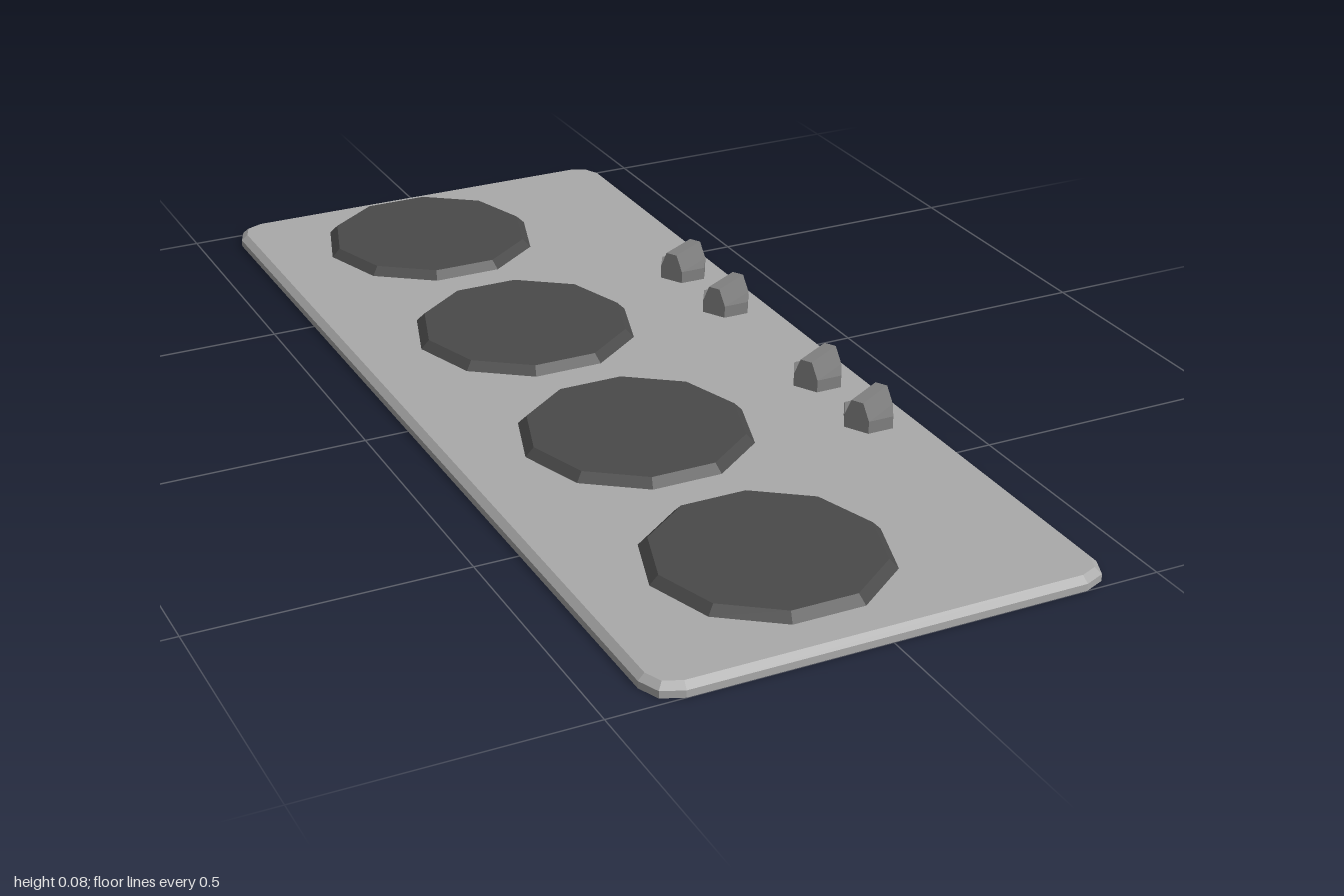
import * as THREE from 'three';
import { mergeVertices } from 'three/addons/utils/BufferGeometryUtils.js';

const material = (name, color) => {
  const m = new THREE.MeshStandardMaterial({ color, flatShading: true });
  m.name = name;
  return m;
};

// Joins equal-length outline loops (bottom to top, anticlockwise seen from above) and caps both ends
function loft(loops) {
  const n = loops[0].length;
  const positions = [];
  const tri = (...pts) => pts.forEach((p) => positions.push(...p));
  for (let k = 0; k + 1 < loops.length; k++) {
    for (let i = 0; i < n; i++) {
      const j = (i + 1) % n;
      const [a, b, c, d] = [loops[k][i], loops[k][j], loops[k + 1][j], loops[k + 1][i]];
      tri(a, b, c);
      tri(a, c, d);
    }
  }
  const low = loops[0], high = loops[loops.length - 1];
  for (let i = 1; i + 1 < n; i++) {
    tri(low[0], low[i + 1], low[i]);
    tri(high[0], high[i], high[i + 1]);
  }
  const g = new THREE.BufferGeometry();
  g.setAttribute('position', new THREE.Float32BufferAttribute(positions, 3));
  g.computeVertexNormals();
  return g;
}

// Rectangle with corners rounded in two segments
function plateLoop(halfX, halfZ, radius, y) {
  const loop = [];
  for (let corner = 0; corner < 4; corner++) {
    const sx = corner === 0 || corner === 3 ? 1 : -1;
    const sz = corner < 2 ? -1 : 1;
    for (let s = 0; s <= 2; s++) {
      const a = (corner + s / 2) * Math.PI / 2;
      loop.push([
        sx * (halfX - radius) + radius * Math.cos(a), y,
        sz * (halfZ - radius) - radius * Math.sin(a),
      ]);
    }
  }
  return loop;
}

// Grip bar along local x: sloped sides, vertical ends flush with the hexagon base
function gripGeometry(halfLength, halfBase, halfTop, y0, y1) {
  const rect = (w, y) => [
    [halfLength, y, w], [halfLength, y, -w], [-halfLength, y, -w], [-halfLength, y, w],
  ];
  return loft([rect(halfBase, y0), rect(halfTop, y1)]);
}

export function createModel() {
  const model = new THREE.Group();
  model.name = 'cooktop';
  const steel = material('light grey steel', 0xaaaaaa);
  const iron = material('dark grey hotplate', 0x4a4a4a);
  const plastic = material('mid grey knob', 0x808080);

  const add = (parent, name, geometry, mat, x = 0, y = 0, z = 0) => {
    const mesh = new THREE.Mesh(geometry, mat);
    mesh.name = name;
    mesh.position.set(x, y, z);
    parent.add(mesh);
    return mesh;
  };

  // Base plate with a chamfered upper rim
  const plateTop = 0.024;
  add(model, 'basePlate', loft([
    plateLoop(0.418, 1, 0.055, 0),
    plateLoop(0.418, 1, 0.055, 0.013),
    plateLoop(0.406, 0.988, 0.045, plateTop),
  ]), steel);

  // Four ten-sided hotplates, corners pointing to the sides
  const hotplate = new THREE.CylinderGeometry(0.199, 0.215, 0.016, 10);
  hotplate.rotateY(Math.PI / 2);
  [-0.755, -0.265, 0.225, 0.715].forEach((z, i) =>
    add(model, `hotplate${i + 1}`, hotplate, iron, -0.07, plateTop + 0.008, z));

  // Four hexagonal knobs, each with a tapered grip across it
  const radius = 0.0505, baseTop = 0.048, gripTop = 0.081;
  const knobBase = new THREE.CylinderGeometry(radius, radius, baseTop - plateTop, 6);
  const grip = gripGeometry(radius * Math.cos(Math.PI / 6), radius / 2, 0.012, baseTop, gripTop);
  [-0.37, -0.185, 0.18, 0.365].forEach((z, i) => {
    const knob = new THREE.Group();
    knob.name = `knob${i + 1}`;
    knob.position.set(0.328, 0, z);
    knob.rotation.y = Math.PI / 6;
    add(knob, 'knobBase', knobBase, plastic, 0, (plateTop + baseTop) / 2, 0);
    add(knob, 'knobGrip', grip, plastic);
    model.add(knob);
  });

  return model;
}
